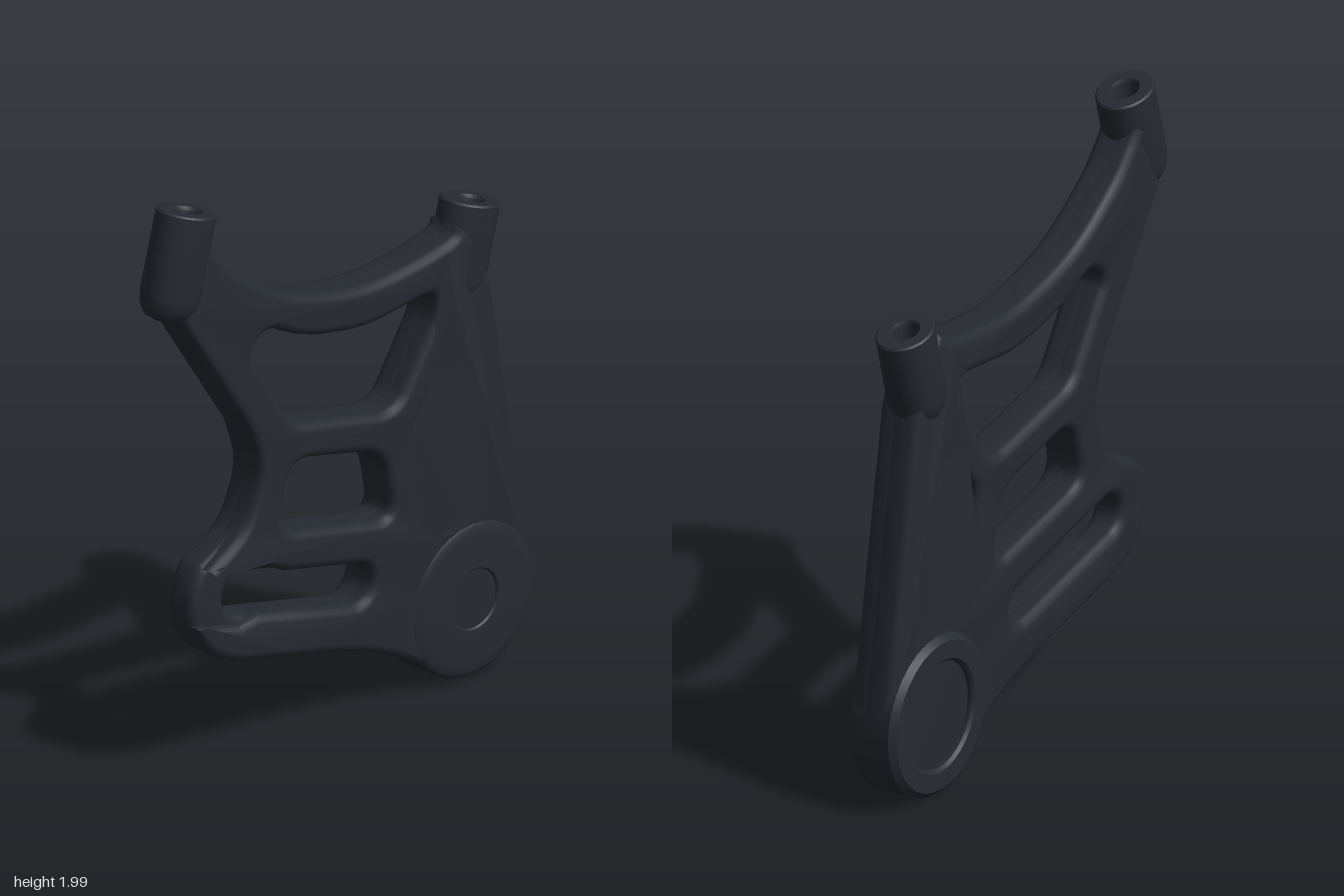
import * as THREE from 'three';
import { toCreasedNormals } from 'three/addons/utils/BufferGeometryUtils.js';

const material = new THREE.MeshStandardMaterial({ color: 0x262a31 });
const v = (p) => new THREE.Vector2(p[0], p[1]);

function addMesh(group, name, geometry) {
  const mesh = new THREE.Mesh(toCreasedNormals(geometry, 0.6), material);
  mesh.name = name;
  group.add(mesh);
  return mesh;
}

// Polygon, counterclockwise, whose corners are cut back by d and rounded: [x, y, d]
function roundedHole(corners) {
  const path = new THREE.Path();
  const n = corners.length;
  corners.forEach((c, i) => {
    const p = v(c);
    const toward = (q) => p.clone().add(v(q).sub(p).setLength(c[2]));
    const a = toward(corners[(i + n - 1) % n]);
    const b = toward(corners[(i + 1) % n]);
    if (i) path.lineTo(a.x, a.y);
    else path.moveTo(a.x, a.y);
    path.quadraticCurveTo(p.x, p.y, b.x, b.y);
  });
  path.closePath();
  return path;
}

// Side outline of the plate; the notched one opens the slot at its front end
function plateShape(notched) {
  const s = new THREE.Shape();
  s.moveTo(-0.6, 1.87);
  s.splineThru([[-0.56, 1.81], [-0.46, 1.71], [-0.25, 1.578], [0, 1.508], [0.2, 1.498],
    [0.44, 1.53], [0.495, 1.57]].map(v));
  s.lineTo(0.58, 1.5);
  s.lineTo(0.634, 1.33);
  s.absarc(0.54, 0.28, 0.265, 0.166, -2.3, true);
  s.splineThru([[0.2, 0.18], [0.02, 0.25], [-0.2, 0.308], [-0.48, 0.376]].map(v));
  if (notched) {
    s.absarc(-0.44, 0.59, 0.21, -1.8, -2.9, true);
    s.lineTo(-0.46, 0.495);
    s.lineTo(-0.38, 0.508);
    s.absarc(0.045, 0.475, 0.07, -1.806, 1.336, false);
    s.lineTo(-0.26, 0.619);
    s.lineTo(-0.34, 0.66);
    s.lineTo(-0.595, 0.722);
  } else {
    s.absarc(-0.44, 0.59, 0.21, -1.8, -3.87, true);
  }
  s.splineThru([[-0.46, 0.805], [-0.395, 0.91], [-0.375, 1.02], [-0.415, 1.155]].map(v));
  s.lineTo(-0.73, 1.64);
  s.closePath();

  const bossSeat = new THREE.Path();
  bossSeat.absarc(0.54, 0.28, 0.21, 0, Math.PI * 2, false);
  s.holes.push(
    bossSeat,
    // upper window
    roundedHole([[-0.235, 1.12, 0.05], [0.215, 1.02, 0.08], [0.39, 1.295, 0.04], [0.385, 1.385, 0.045],
      [0.08, 1.352, 0.1], [-0.17, 1.4, 0.09], [-0.35, 1.495, 0.06], [-0.425, 1.42, 0.045]]),
    // middle window
    roundedHole([[-0.305, 0.765, 0.09], [0.21, 0.647, 0.09], [0.16, 0.902, 0.09], [-0.235, 1.0, 0.09]]),
    // rear window
    roundedHole([[0.293, 0.95, 0.04], [0.352, 0.56, 0.07], [0.585, 0.598, 0.08],
      [0.5, 1.1, 0.06], [0.405, 1.115, 0.045]]),
  );
  if (!notched) {
    const slot = new THREE.Path();
    slot.absarc(0.045, 0.475, 0.07, -1.806, 1.336, false);
    slot.absarc(-0.435, 0.59, 0.07, 1.336, 4.477, false);
    slot.closePath();
    s.holes.push(slot);
  }
  return s;
}

// Slab with rounded edges between two depths
function slab(shape, from, to) {
  const bevel = 0.03;
  const geometry = new THREE.ExtrudeGeometry(shape, {
    depth: to - from - 2 * bevel, bevelEnabled: true, bevelThickness: bevel,
    bevelSize: bevel, bevelOffset: -bevel, bevelSegments: 3, curveSegments: 12,
  });
  return geometry.translate(0, 0, from + bevel);
}

// Round post with a blind bore in its top and a rounded foot
function addPost(group, name, x, y, z, length) {
  const profile = [[0, -length], [0.045, -length], [0.078, -length + 0.015], [0.098, -length + 0.045],
    [0.106, -length + 0.09], [0.106, -0.006], [0.1, 0], [0.055, 0], [0.048, -0.012],
    [0.048, -0.13], [0, -0.15]];
  const post = addMesh(group, name, new THREE.LatheGeometry(profile.map(v), 20));
  post.position.set(x, y, z);
  post.rotation.z = -0.262;
  post.scale.z = 0.85;
}

export function createModel() {
  const model = new THREE.Group();
  model.name = 'mountingBracket';

  // Drawn in side view, then turned so that its depth runs along x
  const body = new THREE.Group();
  body.name = 'bracketBody';
  body.rotation.y = Math.PI / 2;
  model.add(body);

  // Frame plate, with a shallow recess at the slot's end on one face
  addMesh(body, 'framePlate', slab(plateShape(false), -0.077, 0.042));
  addMesh(body, 'recessedFace', slab(plateShape(true), -0.035, 0.076));

  // Pivot boss with through hole and counterbore
  const bossProfile = [[0.1, -0.035], [0.18, -0.035], [0.18, -0.09], [0.19, -0.1], [0.25, -0.1],
    [0.27, -0.08], [0.27, 0.06], [0.263, 0.073], [0.248, 0.081], [0.22, 0.085],
    [0.105, 0.085], [0.1, 0.08], [0.1, -0.035]];
  const boss = addMesh(body, 'pivotBoss', new THREE.LatheGeometry(bossProfile.map(v), 32));
  boss.rotation.x = Math.PI / 2;
  boss.position.set(0.54, 0.275, 0);

  // Threaded posts
  addPost(body, 'frontPost', -0.64, 1.973, 0.008, 0.36);
  addPost(body, 'rearPost', 0.61, 1.611, -0.008, 0.34);

  return model;
}
